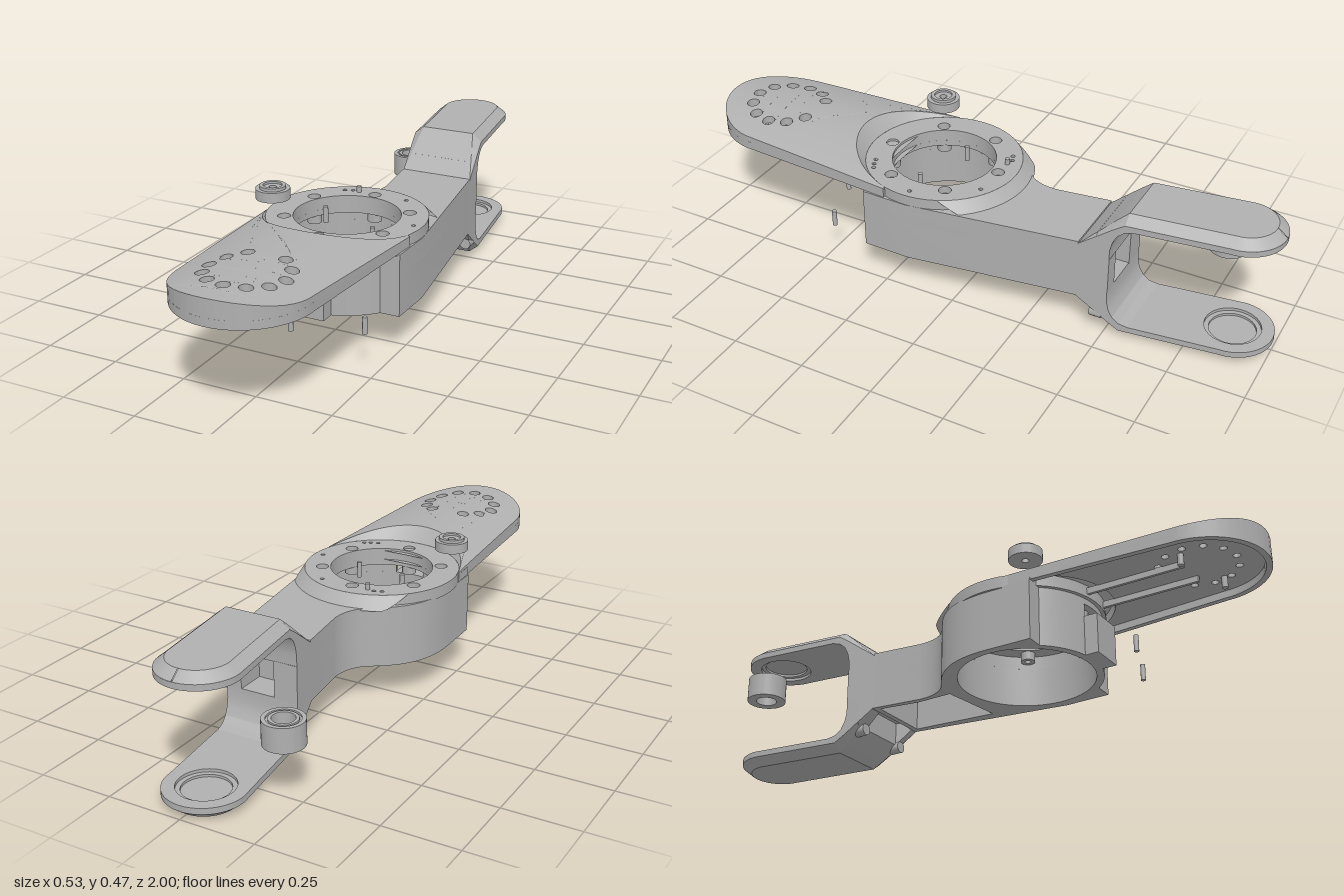
import * as THREE from 'three';
import { toCreasedNormals } from 'three/addons/utils/BufferGeometryUtils.js';

const grey = new THREE.MeshStandardMaterial({ color: 0xb0b0b0, side: THREE.DoubleSide });
grey.name = 'plainGrey';

const CZ = 0.163;    // z of the large central opening
const MID = 0.2285;  // height of the fork's symmetry plane
const rad = THREE.MathUtils.degToRad;
const lerp = THREE.MathUtils.lerp;

const circle = (x, z, r) => new THREE.Path().absarc(x, z, r, 0, Math.PI * 2, false);
const polygon = pts => new THREE.Shape(pts.map(p => new THREE.Vector2(...p)));
const ringShape = (x, z, r, hole) => {
  const s = new THREE.Shape().absarc(x, z, r, 0, Math.PI * 2, false);
  s.holes.push(circle(x, z, hole));
  return s;
};

// Extrude an (x, z) outline between two heights
function slab(shape, y0, y1, curveSegments = 24) {
  const g = new THREE.ExtrudeGeometry(shape, { depth: y1 - y0, bevelEnabled: false, curveSegments });
  g.rotateX(Math.PI / 2).translate(0, y1, 0);
  return g;
}

// Skin a list of equal-length rings of points
function loft(rings, closed, caps = false) {
  const n = rings[0].length, index = [];
  for (let i = 0; i < rings.length - 1; i++) {
    for (let j = 0; j < (closed ? n : n - 1); j++) {
      const a = i * n + j, b = i * n + (j + 1) % n;
      index.push(a, b, a + n, b, b + n, a + n);
    }
  }
  if (caps) for (let j = 1; j < n - 1; j++) index.push(0, j + 1, j);
  const g = new THREE.BufferGeometry();
  g.setAttribute('position', new THREE.Float32BufferAttribute(rings.flat(2), 3));
  g.setIndex(index);
  g.computeVertexNormals();
  return g;
}

// Split every triangle into four, so that a flat face can be bent
function subdivide(g) {
  const p = g.toNonIndexed().attributes.position, out = [];
  for (let i = 0; i < p.count; i += 3) {
    const [a, b, c] = [0, 1, 2].map(k => new THREE.Vector3().fromBufferAttribute(p, i + k));
    const mid = (u, v) => u.clone().add(v).multiplyScalar(0.5);
    const ab = mid(a, b), bc = mid(b, c), ca = mid(c, a);
    for (const v of [a, ab, ca, ab, b, bc, ca, bc, c, ab, bc, ca]) out.push(v.x, v.y, v.z);
  }
  const r = new THREE.BufferGeometry();
  r.setAttribute('position', new THREE.Float32BufferAttribute(out, 3));
  return r;
}

// Left and right edges of the fork along z
const forkEdges = z => {
  const t = (-0.41 - z) / 0.46;
  return [lerp(-0.07, -0.13, t), lerp(0.185, 0.13, t)];
};

// Central housing outline; with a slot, the front wall is opened to the bore
function housingOutline(slot) {
  const s = new THREE.Shape();
  s.moveTo(0.258, 0.32).lineTo(0.262, 0.16).lineTo(0.185, -0.41).lineTo(-0.07, -0.41).lineTo(-0.047, -0.23);
  s.bezierCurveTo(-0.045, -0.18, -0.06, -0.13, -0.11, -0.1);
  s.bezierCurveTo(-0.17, -0.06, -0.252, 0, -0.252, 0.16);
  s.lineTo(-0.25, 0.32);
  if (slot) {
    s.absarc(0, 0.16, 0.25, rad(140.2), rad(102), true);
    s.absarc(0, 0.16, 0.225, rad(102), rad(435), false);
    s.absarc(0, 0.16, 0.25, rad(75), rad(39.8), true);
  } else s.absarc(0, 0.16, 0.25, rad(140.2), rad(39.8), true);
  return s;
}

// One fork prong: sloped root, chamfered outer edge, round tip; d = 1 upper, -1 lower
function prong(d) {
  const rings = [];
  // z, outer height, inner height, groove height (heights from the symmetry plane)
  const rows = [[-0.41, 0.1, 0.06, 0.07], [-0.465, 0.15, 0.06, 0.07], [-0.4655, 0.15, 0.06, 0.15],
    [-0.509, 0.19, 0.06], [-0.51, 0.191, 0.1], [-0.517, 0.197, 0.13], [-0.53, 0.208, 0.155],
    [-0.552, 0.2265, 0.173], [-0.58, 0.2265, 0.18], [-0.581, 0.2265, 0.198], [-0.87, 0.2265, 0.198]];
  const ring = (L, R, Lo, Ro, z, zo, out, inn, mid, gr) => {
    const a = lerp(Lo, Ro, 0.16), b = lerp(Lo, Ro, 0.9);
    rings.push([[L, inn, z], [R, inn, z], [R, mid, z], [Ro, out, zo], [b, out, zo], [b, gr, zo],
      [a, gr, zo], [a, out, zo], [Lo, out, zo], [L, mid, z]].map(([x, h, zz]) => [x, MID + d * h, zz]));
  };
  for (const [z, out, inn, gr] of rows) {
    const t = Math.min(1, (-0.41 - z) / 0.142), c = 0.033 * t, [L, R] = forkEdges(z);
    ring(L, R, L + c, R - c, z, z, out, inn, out - 0.0265 * t, d < 0 && gr ? gr : out);
  }
  for (let i = 1; i <= 12; i++) {
    const a = rad(i * 7.45), c = Math.cos(a), s = Math.sin(a);
    ring(-0.13 * c, 0.13 * c, -0.097 * c, 0.097 * c, -0.87 - 0.13 * s, -0.87 - 0.097 * s, 0.2265, 0.198, 0.2, 0.2265);
  }
  return loft(rings, true, true);
}

export function createModel() {
  const model = new THREE.Group();
  const add = (name, geometry, crease = 0.6) => {
    const m = new THREE.Mesh(toCreasedNormals(geometry, crease), grey);
    m.name = name;
    model.add(m);
    return m;
  };
  const pin = (name, x, z, y0, y1, r) =>
    add(name, new THREE.CylinderGeometry(r, r, y1 - y0, 16).translate(x, (y0 + y1) / 2, z));

  // Screw positions: six round the opening, eleven in the front arm
  const ringScrews = [0, 60, 120, 180, 240, 300].map(a => [0.2 * Math.sin(rad(a)), CZ + 0.2 * Math.cos(rad(a))]);
  const armScrews = [];
  for (let i = 0; i < 12; i++) if (i !== 6) {
    armScrews.push([0.125 * Math.sin(rad(i * 30)) + 0.003, 0.777 + 0.125 * Math.cos(rad(i * 30))]);
  }
  const neckHoles = [[0, -0.385], [0.13, -0.4], [0.02, -0.175], [0.155, -0.19]];
  const dowelHoles = [[-0.085, -0.045], [-0.11, -0.035], [0.115, -0.035], [0.23, 0.16], [0.12, 0.355], [0.145, 0.346], [0.165, 0.335]];

  // Housing walls, open underneath, with a bore and a neck cavity
  const cavity = polygon([[-0.03, -0.12], [0.19, -0.09], [0.165, -0.39], [-0.05, -0.39], [-0.028, -0.25]]);
  const lower = housingOutline(false);
  lower.holes.push(circle(0, 0.16, 0.225), cavity);
  add('housingWall', slab(lower, 0.13, 0.265));
  const upper = housingOutline(true);
  upper.holes.push(cavity);
  add('housingUpperWall', slab(upper, 0.265, 0.315));
  const deck = housingOutline(false);
  deck.holes.push(circle(0, CZ, 0.172));
  ringScrews.forEach(([x, z]) => deck.holes.push(circle(x, z, 0.011)));
  neckHoles.forEach(([x, z]) => deck.holes.push(circle(x, z, 0.007)));
  add('housingDeck', slab(deck, 0.31, 0.33));
  add('frontBoss', new THREE.BoxGeometry(0.12, 0.135, 0.055).translate(0.005, 0.1975, 0.4225));

  // Raised collar with its sloped skirts
  const collar = ringShape(0, CZ, 0.26, 0.172);
  ringScrews.forEach(([x, z]) => collar.holes.push(circle(x, z, 0.021)));
  dowelHoles.forEach(([x, z]) => collar.holes.push(circle(x, z, 0.007)));
  add('collar', slab(collar, 0.33, 0.37, 32));
  const front = [], rear = [], armBack = [];
  for (let i = 0; i <= 36; i++) {
    const a = rad(lerp(-72, 72, i / 36)), s = Math.sin(a), c = Math.cos(a);
    const r = Math.abs(s) < 1e-4 ? 0.3 : Math.max(0.26, (Math.sqrt(1.5625 + 1.2 * s * s) - 1.25) / (1.6 * s * s));
    front.push([[0.26 * s, 0.37, CZ + 0.26 * c], [r * s, 0.37 + (r - 0.26) * 1.25, CZ + r * c]]);
    armBack.push([r * s, CZ + r * c]);
    const deg = lerp(-48, 66, i / 36), b = rad(deg), w = Math.min(1, (deg + 48) / 18, (66 - deg) / 16);
    const q = 0.26 + 0.04 * w;
    rear.push([[0.26 * Math.sin(b), 0.37, CZ - 0.26 * Math.cos(b)],
      [q * Math.sin(b), 0.37 - 0.04 * w, CZ - q * Math.cos(b)]]);
  }
  add('frontSkirt', loft(front, false));
  add('rearSkirt', loft(rear, false));

  // Front arm: crowned skin with screw holes
  const skin = polygon(armBack);
  skin.lineTo(0.256, 0.243).lineTo(0.217, 0.785).absarc(0, 0.783, 0.217, 0, Math.PI, false).lineTo(-0.25, 0.243);
  armScrews.forEach(([x, z]) => skin.holes.push(circle(x, z, 0.021)));
  const skinGeometry = subdivide(subdivide(slab(skin, 0.36, 0.42, 12)));
  const p = skinGeometry.attributes.position;
  for (let i = 0; i < p.count; i++) {
    const x = p.getX(i);
    p.setY(i, lerp(0.36, 0.42 - 0.8 * x * x, (p.getY(i) - 0.36) / 0.06));
  }
  add('armSkin', skinGeometry);

  // Rim and cable channel below the arm
  const rim = polygon([[-0.25, 0.243], [-0.232, 0.243], [-0.197, 0.783]]);
  rim.absarc(0, 0.783, 0.197, Math.PI, 0, true);
  rim.lineTo(0.238, 0.243).lineTo(0.256, 0.243).lineTo(0.217, 0.783);
  rim.absarc(0, 0.783, 0.217, 0, Math.PI, false);
  add('armRim', slab(rim, 0.335, 0.362));
  const apron = housingOutline(true);
  add('armRootWall', slab(apron, 0.315, 0.335));
  const root = polygon([[-0.25, 0.243], [-0.247, 0.32], [-0.192, 0.32]]);
  root.absarc(0, 0.16, 0.25, rad(140.2), rad(39.8), true);
  root.lineTo(0.25, 0.32).lineTo(0.255, 0.243).absarc(0, CZ, 0.255, rad(18), rad(162), false);
  add('armRoot', slab(root, 0.33, 0.362));
  for (const x of [-0.05, 0.06]) {
    add('channelWall', new THREE.BoxGeometry(0.01, 0.022, 0.34).translate(x, 0.351, 0.58));
  }

  // Counterbore seats under each screw head
  armScrews.forEach(([x, z]) => add('armScrewSeat', slab(ringShape(x, z, 0.022, 0.012), 0.36, 0.385, 12)));
  ringScrews.forEach(([x, z]) => add('collarScrewBoss', slab(ringShape(x, z, 0.024, 0.011), 0.28, 0.345, 12)));

  // Fork prongs with blind bearing pockets on their inner faces
  for (const [name, d] of [['upper', 1], ['lower', -1]]) {
    add(name + 'Prong', prong(d), 0.35);
    const [L, R] = forkEdges(-0.58);
    const lining = polygon([[L, -0.58], [-0.13, -0.87]]);
    lining.absarc(0, -0.87, 0.13, Math.PI, Math.PI * 2, false);
    lining.lineTo(R, -0.58);
    lining.holes.push(circle(0, -0.87, 0.09));
    const y = [MID + d * 0.18, MID + d * 0.199].sort();
    add(name + 'PocketLining', slab(lining, y[0], y[1]));
    const seat = [MID + d * 0.19, MID + d * 0.199].sort();
    add(name + 'PocketSeat', slab(ringShape(0, -0.87, 0.091, 0.075), seat[0], seat[1]));
  }

  // Wall between the prongs, leaving a window in the middle
  const [l0, r0] = forkEdges(-0.39), [l1, r1] = forkEdges(-0.51);
  add('forkWallLeft', slab(polygon([[0.12, -0.39], [r0, -0.39], [r1, -0.51], [0.12, -0.51]]), MID - 0.062, MID + 0.062));
  add('forkWallRight', slab(polygon([[l0, -0.39], [0.0, -0.39], [0.0, -0.51], [l1, -0.51]]), MID - 0.062, MID + 0.062));
  for (const x of [-0.043, 0.157]) {
    add('slopeScrew', new THREE.CylinderGeometry(0.02, 0.02, 0.04, 20).rotateX(Math.PI / 2).translate(x, 0.072, -0.472));
  }

  // Loose bearings
  const bearing = (name, profile, x, z) => add(name, new THREE.LatheGeometry(
    profile.map(q => new THREE.Vector2(...q)), 40).translate(x, 0, z));
  bearing('rearBearing', [[0.035, 0.19], [0.065, 0.19], [0.065, 0.27], [0.052, 0.27], [0.052, 0.264],
    [0.045, 0.264], [0.045, 0.27], [0.035, 0.27], [0.035, 0.19]], -0.203, -0.77);
  bearing('frontBearing', [[0.012, 0.432], [0.055, 0.432], [0.055, 0.465], [0.042, 0.465], [0.042, 0.475],
    [0.03, 0.475], [0.03, 0.468], [0.012, 0.468], [0.012, 0.432]], -0.202, 0.28);

  // Dowel pins
  pin('loosePin', 0.007, 0.55, 0.13, 0.185, 0.008);
  pin('loosePin', 0.215, 0.47, 0.13, 0.185, 0.008);
  pin('borePin', -0.095, 0.13, 0.315, 0.37, 0.008);
  pin('borePin', 0.105, 0.195, 0.3, 0.355, 0.008);
  pin('collarPin', -0.06, -0.04, 0.34, 0.39, 0.008);
  pin('armPeg', -0.095, 0.76, 0.322, 0.362, 0.01);
  pin('armPeg', 0.11, 0.815, 0.322, 0.362, 0.01);
  return model;
}
